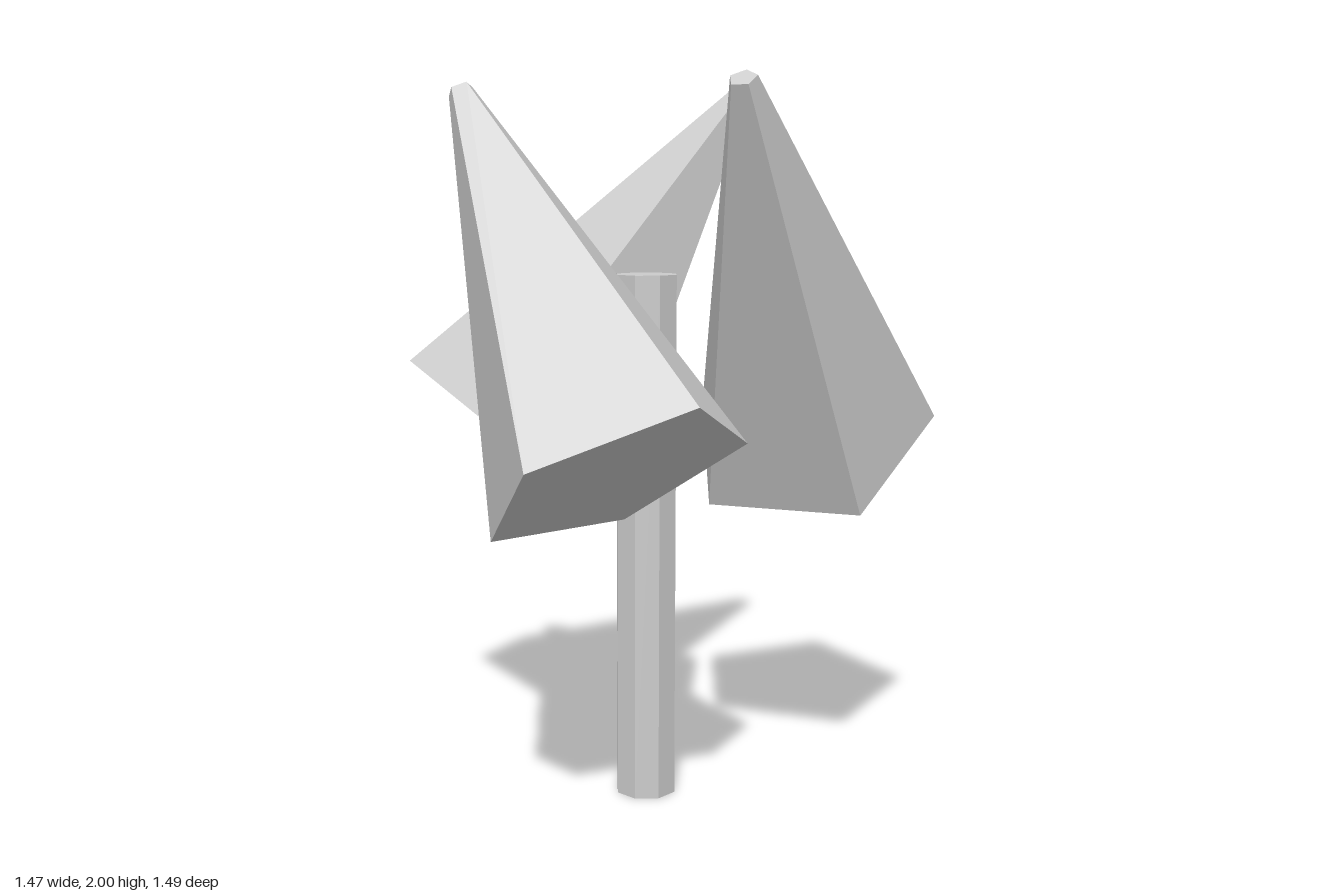
import * as THREE from 'three';

export function createModel() {
  const model = new THREE.Group();
  const material = new THREE.MeshStandardMaterial({ color: 0xcccccc, flatShading: true });

  // Everything turns about the trunk axis
  const tree = new THREE.Group();
  tree.name = 'tree';
  tree.position.set(0.007, 0, -0.102);
  model.add(tree);

  // Octagonal trunk
  const trunkHeight = 1.485;
  const trunk = new THREE.Mesh(new THREE.CylinderGeometry(0.088, 0.088, trunkHeight, 8), material);
  trunk.name = 'trunk';
  trunk.position.y = trunkHeight / 2;
  tree.add(trunk);

  // Tilted five-sided foliage cone, its base centre at the origin
  const coneHeight = 1.19;
  const cone = new THREE.CylinderGeometry(0.037, 0.37, coneHeight, 5);
  cone.rotateY(Math.PI);
  cone.translate(0, coneHeight / 2, 0);
  cone.rotateX(THREE.MathUtils.degToRad(35));
  cone.translate(0.373, 1.005, -0.34);

  // Three cones, a third of a turn apart
  for (let i = 0; i < 3; i++) {
    const foliage = new THREE.Mesh(cone, material);
    foliage.name = `foliageCone${i + 1}`;
    foliage.rotation.y = (i * Math.PI * 2) / 3;
    tree.add(foliage);
  }

  return model;
}
